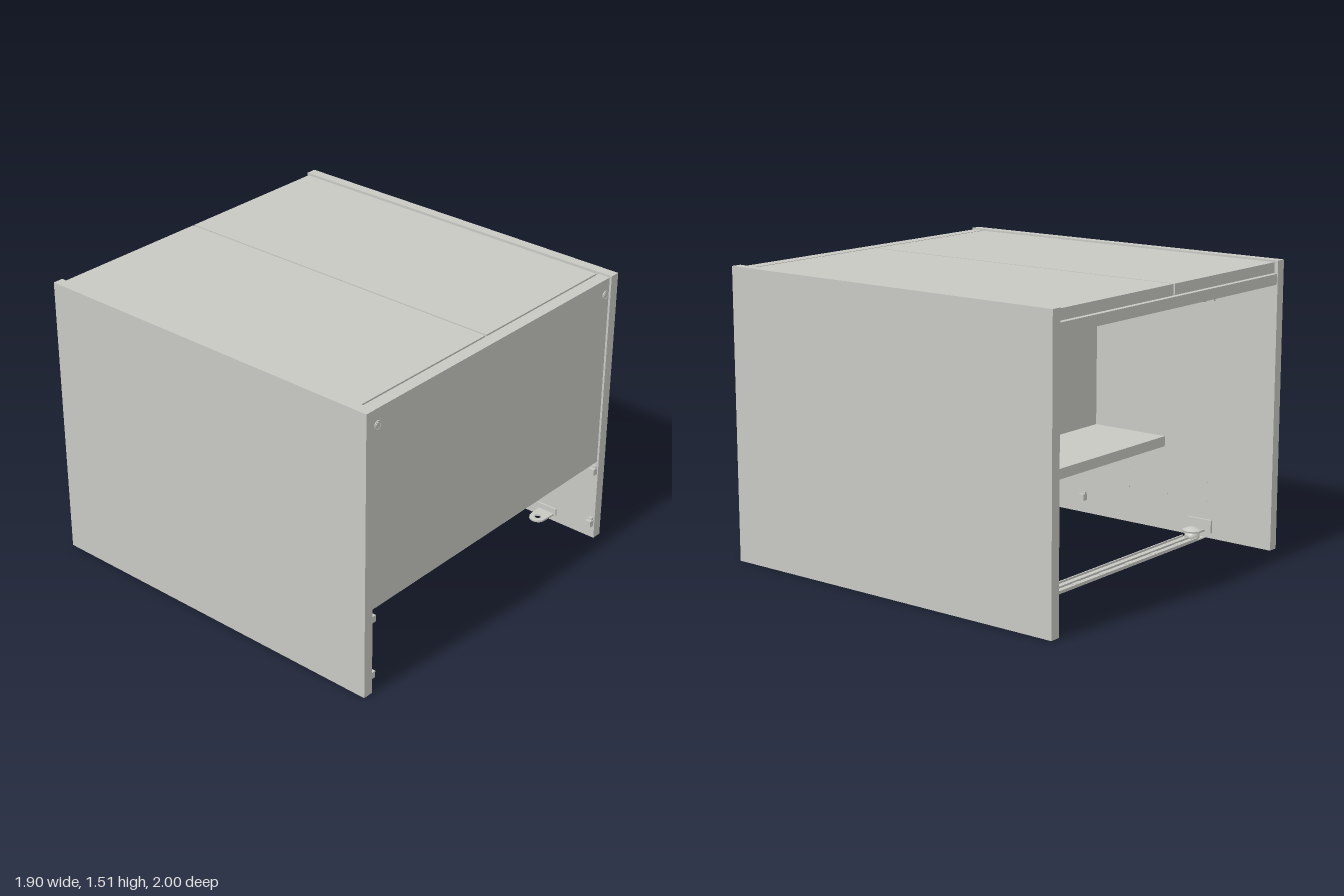
import * as THREE from 'three';

export function createModel() {
  const root = new THREE.Group();
  const grey = new THREE.MeshStandardMaterial({ color: 0xc8c8c3 });
  grey.name = 'light grey';

  const add = (name, geo, x = 0, y = 0, z = 0, parent = root) => {
    const m = new THREE.Mesh(geo, grey);
    m.name = name;
    m.position.set(x, y, z);
    parent.add(m);
    return m;
  };
  // Box given by its limits on each axis
  const slab = (name, x0, x1, y0, y1, z0, z1, parent = root) =>
    add(name, new THREE.BoxGeometry(x1 - x0, y1 - y0, z1 - z0),
      (x0 + x1) / 2, (y0 + y1) / 2, (z0 + z1) / 2, parent);
  // Same, mirrored to the other side in x
  const pair = (name, x0, x1, y0, y1, z0, z1) => {
    slab(name + 'Left', x0, x1, y0, y1, z0, z1);
    slab(name + 'Right', -x1, -x0, y0, y1, z0, z1);
  };

  // Carcass panels
  pair('sidePanel', 0.895, 0.95, 0, 1.513, -1, 1);
  slab('frontPanel', -0.893, 0.893, 0.46, 1.505, 0.925, 0.99);
  pair('topLid', 0.005, 0.885, 1.45, 1.505, -0.985, 0.915);
  slab('rearTopRail', -0.895, 0.895, 1.39, 1.445, -0.995, -0.77);
  slab('middlePanel', -0.895, 0.895, 0.455, 1.448, 0.125, 0.195);
  slab('rearShelf', -0.895, 0.895, 0.455, 0.51, -0.33, 0.125);
  slab('frontShelf', -0.895, 0.895, 0.458, 0.51, 0.47, 0.925);

  // Thin fittings under the front shelf and rear rail
  slab('shelfPlate', -0.16, 0.16, 0.451, 0.458, 0.78, 0.92);
  for (const x of [-0.12, -0.05, 0.07, 0.12])
    add('plateStud', new THREE.CylinderGeometry(0.012, 0.012, 0.012, 12), x, 0.449, 0.85);
  pair('shelfBracket', 0.75, 0.895, 0.448, 0.458, 0.84, 0.92);
  pair('railClip', 0.8, 0.88, 1.382, 1.39, -0.96, -0.9);

  // Channel rail across the floor between the rear feet
  slab('floorRailBase', -0.87, 0.87, 0.005, 0.011, -0.615, -0.515);
  for (const z of [-0.615, -0.57, -0.523])
    slab('floorRailRib', -0.8, 0.8, 0.011, 0.021, z, z + 0.008);
  for (let i = -3; i <= 3; i++)
    slab('floorRailTab', i * 0.22 - 0.03, i * 0.22 + 0.03, 0.011, 0.018, -0.6, -0.58);

  const footProfile = [[0, 0], [0.04, 0], [0.04, 0.03], [0.028, 0.034], [0.028, 0.046],
    [0.052, 0.048], [0.05, 0.054], [0.016, 0.068], [0, 0.07]].map(p => new THREE.Vector2(...p));
  const tongue = new THREE.Shape();
  tongue.moveTo(0.065, -0.05);
  tongue.lineTo(-0.02, -0.045);
  tongue.absarc(-0.02, 0, 0.045, -Math.PI / 2, Math.PI / 2, true);
  tongue.lineTo(0.065, 0.05);
  const hole = new THREE.Path();
  hole.absarc(-0.02, 0, 0.018, 0, Math.PI * 2);
  tongue.holes.push(hole);

  for (const side of [1, -1]) {
    const fittings = new THREE.Group();
    fittings.name = side > 0 ? 'leftFittings' : 'rightFittings';
    root.add(fittings);

    // Rear foot with its wall plate
    add('rearFoot', new THREE.LatheGeometry(footProfile, 24), side * 0.82, 0, -0.565, fittings);
    const wall = (name, depth, y0, y1, z0, z1) => {
      const a = side * 0.895, b = side * (0.895 - depth);
      slab(name, Math.min(a, b), Math.max(a, b), y0, y1, z0, z1, fittings);
    };
    wall('rearFootPlate', 0.012, 0.03, 0.1, -0.64, -0.49);
    wall('rearFootArm', 0.06, 0.035, 0.046, -0.6, -0.53);

    // Front floor bracket: holed tongue and upright
    const t = add('frontBracket', new THREE.ExtrudeGeometry(tongue, { depth: 0.01, bevelEnabled: false, curveSegments: 16 }),
      side * 0.83, 0.04, 0.7, fittings);
    t.rotation.x = -Math.PI / 2;
    if (side < 0) t.rotation.z = Math.PI;
    wall('frontBracketPlate', 0.01, 0.04, 0.08, 0.64, 0.76);

    // Connector pegs on the inner wall
    for (const z of [0.2, 0.978])
      for (const y of [0.405, 0.09]) {
        wall('connectorPeg', 0.03, y - 0.018, y + 0.018, z - 0.016, z + 0.016);
        wall('connectorCap', 0.012, y - 0.005, y + 0.03, z - 0.012, z + 0.012);
      }

    // Small shelf pins along the wall
    for (const z of [-0.6, -0.35, -0.1, 0.45])
      for (const y of [0.2, 0.3]) {
        const pin = add('wallPin', new THREE.CylinderGeometry(0.006, 0.006, 0.004, 10), side * 0.894, y, z, fittings);
        pin.rotation.z = Math.PI / 2;
      }

    // Lid hinge below the top: wall plate, curved arm and mount
    wall('hingePlate', 0.012, 1.27, 1.4, -0.63, -0.54);
    wall('hingeMount', 0.05, 1.415, 1.45, -0.66, -0.47);
    const arm = new THREE.CatmullRomCurve3([[0.86, 1.43, -0.5], [0.865, 1.4, -0.58],
      [0.87, 1.33, -0.6], [0.875, 1.27, -0.57]].map(p => new THREE.Vector3(side * p[0], p[1], p[2])));
    add('hingeArm', new THREE.TubeGeometry(arm, 16, 0.018, 8), 0, 0, 0, fittings);

    // Round fastener on the front panel
    const disc = add('fastenerDisc', new THREE.CylinderGeometry(0.016, 0.016, 0.006, 20), side * 0.863, 1.42, 0.992, fittings);
    disc.rotation.x = Math.PI / 2;
    add('fastenerRing', new THREE.TorusGeometry(0.021, 0.004, 8, 24), side * 0.863, 1.42, 0.991, fittings);
  }
  return root;
}
